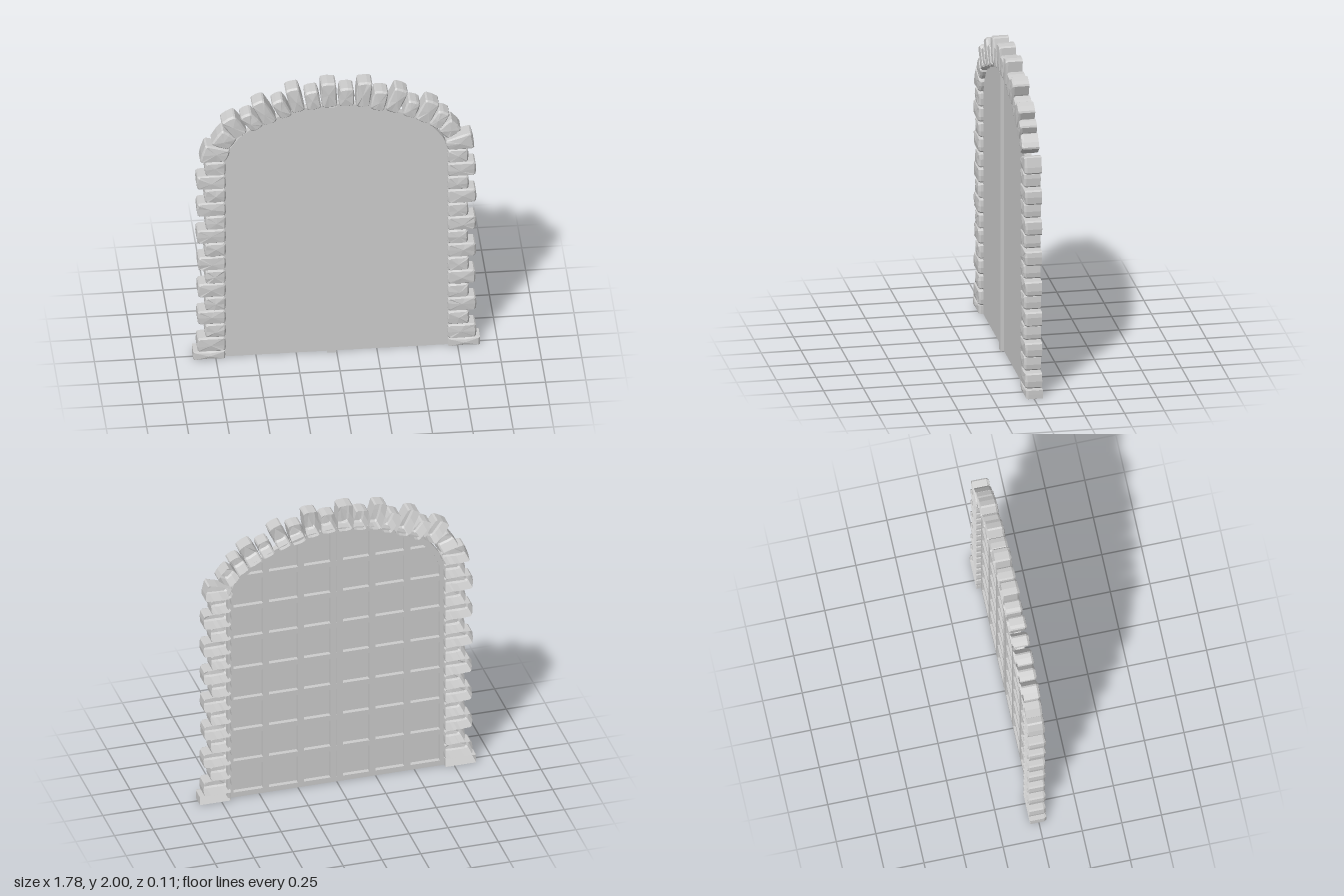
import * as THREE from 'three';

const stoneMat = new THREE.MeshStandardMaterial({ color: 0xcccccc, flatShading: true, side: THREE.DoubleSide });
const doorMat = new THREE.MeshStandardMaterial({ color: 0xcccccc, flatShading: true });
const BACK = -0.055, FRONT = 0.055;

// Right half of the door outline, from the ground to the crown
const OUTLINE = [[0.7, 0], [0.7, 1.45], [0.66, 1.54], [0.6, 1.62], [0.53, 1.675],
  [0.43, 1.725], [0.34, 1.765], [0.2, 1.81], [0, 1.83]];

// Interpolate the outline: key 0 looks up x, key 1 looks up y
function lookUp(value, key) {
  for (let i = 1; i < OUTLINE.length - 1; i++) {
    const a = OUTLINE[i], b = OUTLINE[i + 1];
    const t = (value - a[key]) / (b[key] - a[key]);
    if (t >= 0 && t <= 1) return a[1 - key] + t * (b[1 - key] - a[1 - key]);
  }
  return 0.7;
}

function outlinePoints(inset) {
  const right = OUTLINE.map(([x, y]) => new THREE.Vector2(
    x * (1 - inset / 0.7), y === 0 ? inset : y - inset * Math.max(0, (y - 1.3) / 0.53)));
  const left = right.slice(0, -1).reverse().map(p => new THREE.Vector2(-p.x, p.y));
  return right.concat(left);
}

function add(group, name, geometry, material) {
  const mesh = new THREE.Mesh(geometry, material);
  mesh.name = name;
  group.add(mesh);
  return mesh;
}

function box(group, name, x0, x1, y0, y1, z0, z1) {
  add(group, name, new THREE.BoxGeometry(x1 - x0, y1 - y0, z1 - z0), doorMat)
    .position.set((x0 + x1) / 2, (y0 + y1) / 2, (z0 + z1) / 2);
}

let seed = 7;
function rand() {
  seed = (seed * 16807) % 2147483647;
  return seed / 2147483647 - 0.5;
}

// Hollow stone, open at the back: a rounded quad swept forward to a worn, bevelled face
function stone(group, name, quad, wear = 1) {
  const corners = quad.map(([x, y]) => new THREE.Vector2(x, y));
  if (THREE.ShapeUtils.area(corners) < 0) corners.reverse();
  const centre = new THREE.Vector2();
  corners.forEach(c => centre.addScaledVector(c, 0.25));
  const ring = [];
  corners.forEach((c, i) => {
    const prev = corners[(i + 3) % 4], next = corners[(i + 1) % 4];
    const cut = 0.009 * wear;
    ring.push(c.clone().add(prev.clone().sub(c).setLength(cut)));
    ring.push(c.clone().add(next.clone().sub(c).setLength(cut)));
    const mid = c.clone().lerp(next, 0.5 + rand() * 0.3 * wear);
    const out = new THREE.Vector2(next.y - c.y, c.x - next.x).setLength(0.004 * wear);
    ring.push(mid.add(out));
  });
  const n = ring.length, pos = [], index = [];
  const layers = [[BACK, 0], [0.036, 0], [0.049, 0.008]];
  for (const [z, inset] of layers) {
    for (const p of ring) {
      const d = centre.clone().sub(p);
      const q = p.clone().add(d.setLength(inset * 1.3));
      pos.push(q.x, q.y, z + (inset ? rand() * 0.006 * wear : 0));
    }
  }
  pos.push(centre.x + rand() * 0.02 * wear, centre.y + rand() * 0.02 * wear, FRONT);
  for (let i = 0; i < n; i++) {
    const j = (i + 1) % n;
    for (let k = 0; k < layers.length - 1; k++) {
      const a = k * n + i, b = k * n + j;
      index.push(a, b, b + n, a, b + n, a + n);
    }
    index.push(2 * n + i, 2 * n + j, 3 * n);
  }
  const g = new THREE.BufferGeometry();
  g.setAttribute('position', new THREE.Float32BufferAttribute(pos, 3));
  g.setIndex(index);
  g.computeVertexNormals();
  add(group, name, g, stoneMat);
}

// Arch stones, left to right: outer start, outer end, inner end, inner start
const ARCH = [
  [-0.85, 1.46, -0.815, 1.585, -0.66, 1.54, -0.69, 1.46],
  [-0.78, 1.59, -0.71, 1.69, -0.62, 1.62, -0.675, 1.545],
  [-0.72, 1.745, -0.635, 1.795, -0.555, 1.67, -0.63, 1.62],
  [-0.603, 1.778, -0.535, 1.81, -0.455, 1.71, -0.524, 1.667],
  [-0.53, 1.868, -0.455, 1.9, -0.37, 1.74, -0.45, 1.709],
  [-0.407, 1.868, -0.339, 1.9, -0.275, 1.778, -0.344, 1.751],
  [-0.32, 1.958, -0.238, 1.978, -0.196, 1.81, -0.275, 1.79],
  [-0.2, 1.932, -0.12, 1.948, -0.095, 1.82, -0.18, 1.804],
  [-0.098, 1.996, -0.005, 1.996, 0, 1.821, -0.09, 1.821],
  [0.02, 1.953, 0.105, 1.95, 0.106, 1.823, 0.016, 1.823],
  [0.132, 1.988, 0.222, 1.985, 0.2, 1.808, 0.12, 1.815],
  [0.238, 1.92, 0.322, 1.907, 0.29, 1.768, 0.206, 1.793],
  [0.365, 1.938, 0.445, 1.9, 0.376, 1.746, 0.301, 1.778],
  [0.45, 1.84, 0.52, 1.81, 0.48, 1.703, 0.407, 1.735],
  [0.556, 1.838, 0.64, 1.795, 0.571, 1.656, 0.486, 1.698],
  [0.635, 1.75, 0.704, 1.72, 0.64, 1.61, 0.571, 1.65],
  [0.709, 1.683, 0.775, 1.6, 0.69, 1.54, 0.63, 1.603],
  [0.836, 1.573, 0.855, 1.46, 0.69, 1.455, 0.675, 1.52],
];

function buildSurround() {
  const surround = new THREE.Group();
  surround.name = 'stoneSurround';
  const rect = (s, x0, x1, y0, y1) => [[s * x0, y0], [s * x1, y0], [s * x1, y1], [s * x0, y1]];
  for (const s of [-1, 1]) {
    const side = s > 0 ? 'left' : 'right';
    stone(surround, side + 'Plinth', rect(s, 0.692, 0.89, 0, 0.056), 0.1);
    // Long and short jamb stones alternate
    for (let i = 0; i < 14; i++) {
      const y = 0.061 + i * 0.1, long = i % 2 === 0;
      stone(surround, side + 'JambStone', rect(s, 0.69, (long ? 0.862 : 0.816) + rand() * 0.008,
        i === 0 ? 0.058 : y, y + 0.095));
    }
  }
  for (const a of ARCH) {
    stone(surround, 'archStone', [[a[0], a[1]], [a[2], a[3]], [a[4], a[5]], [a[6], a[7]]]);
  }
  return surround;
}

function buildDoor() {
  const door = new THREE.Group();
  door.name = 'doubleDoor';
  const zBack = -0.025, zPanel = 0.004, zFront = 0.02;

  // Flat boarding
  const boards = new THREE.ExtrudeGeometry(new THREE.Shape(outlinePoints(0)),
    { depth: zFront - zPanel, bevelEnabled: false });
  boards.translate(0, 0, zPanel);
  add(door, 'doorBoards', boards, doorMat);

  // Rim around the back
  const rimShape = new THREE.Shape(outlinePoints(0));
  rimShape.holes.push(new THREE.Path(outlinePoints(0.035)));
  const rim = new THREE.ExtrudeGeometry(rimShape, { depth: zPanel - zBack, bevelEnabled: false });
  rim.translate(0, 0, zBack);
  add(door, 'doorRim', rim, doorMat);

  // Back lattice: stiles and rails stopping at the rim
  for (const s of [-1, 1]) {
    for (const x of [0.23, 0.455]) {
      box(door, 'latticeStile', s * x - 0.02, s * x + 0.02, 0.01, lookUp(x, 0) - 0.02, zBack, zPanel);
    }
    box(door, 'meetingStile', s > 0 ? 0.002 : -0.04, s > 0 ? 0.04 : -0.002, 0.005, 1.815, zBack, zPanel);
  }
  for (let k = 1; k < 8; k++) {
    const y = 0.02 + k * 0.222;
    const w = (y < 1.45 ? 0.7 : lookUp(y, 1)) - 0.02;
    box(door, 'latticeRail', -w, w, y - 0.018, y + 0.018, zBack, zPanel);
  }

  // Cover strip over the joint at the front
  box(door, 'coverStrip', -0.06, -0.002, 0, 1.82, zFront - 0.005, 0.042);
  return door;
}

export function createModel() {
  const model = new THREE.Group();
  model.name = 'archedGate';
  model.add(buildSurround(), buildDoor());
  return model;
}
